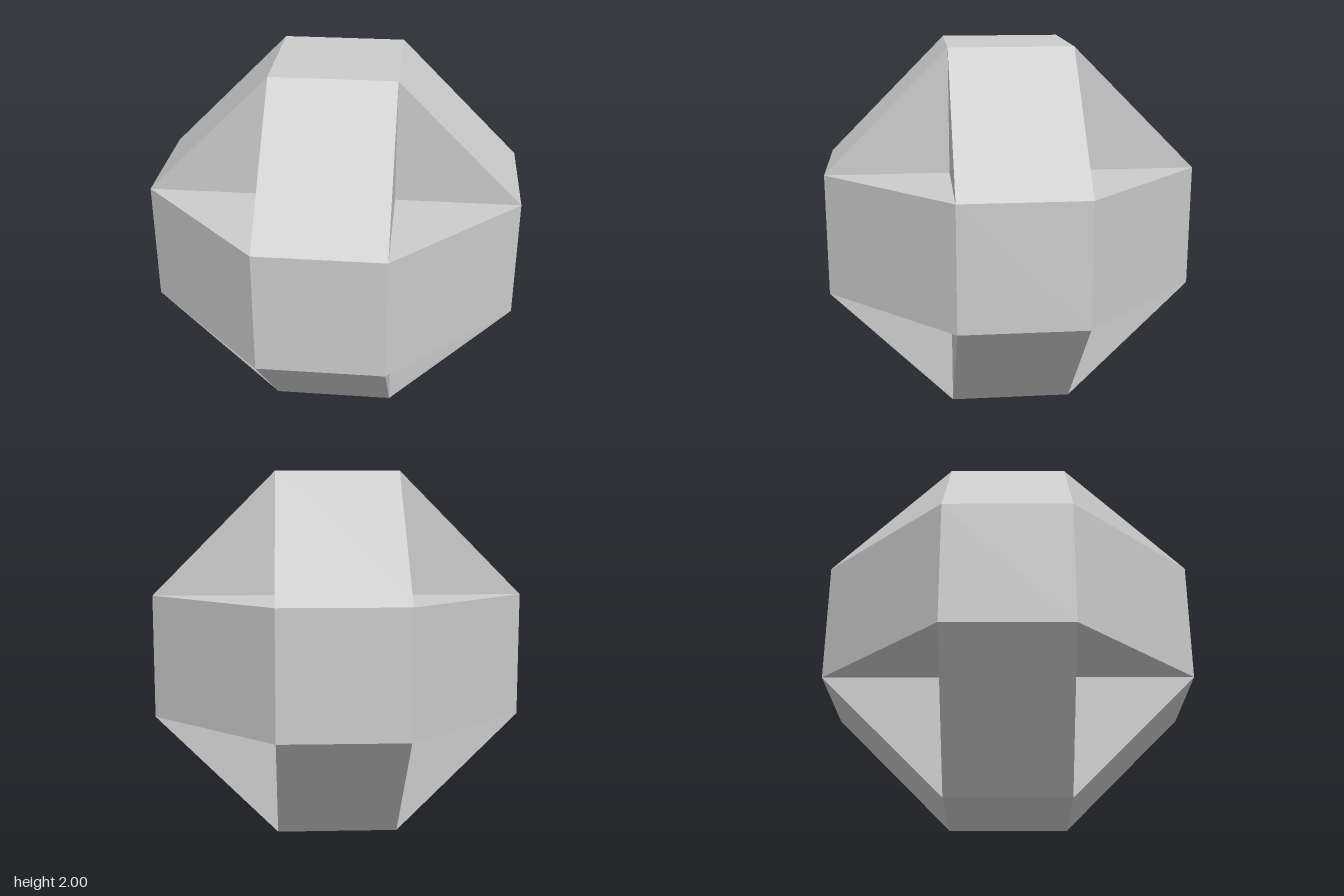
import * as THREE from 'three';

const A = 1 / 3; // half width of each octagonal band
const SIGNS = [1, -1];
const material = new THREE.MeshStandardMaterial({ color: 0xcccccc, flatShading: true });

// Point given by its coordinates along axes i, j and the remaining axis k
function point(i, j, u, v, w) {
  const p = new THREE.Vector3();
  return p.setComponent(i, u).setComponent(j, v).setComponent(3 - i - j, w);
}

// Adds a convex polygon as a fan, wound so that it faces along `outward`
function addFace(out, points, outward) {
  const normal = points[1].clone().sub(points[0]).cross(points[2].clone().sub(points[0]));
  const pts = normal.dot(outward) < 0 ? [...points].reverse() : points;
  for (let n = 1; n < pts.length - 1; n++) {
    for (const p of [pts[0], pts[n], pts[n + 1]]) out.push(p.x, p.y, p.z);
  }
}

function makeMesh(name, positions) {
  const geometry = new THREE.BufferGeometry();
  geometry.setAttribute('position', new THREE.Float32BufferAttribute(positions, 3));
  geometry.computeVertexNormals();
  const mesh = new THREE.Mesh(geometry, material);
  mesh.name = name;
  mesh.position.y = 1;
  return mesh;
}

export function createModel() {
  const caps = [], bevels = [], recesses = [];

  for (let i = 0; i < 3; i++) {
    const j = (i + 1) % 3;
    for (const s of SIGNS) {
      // Square where two bands cross, at the end of axis i
      addFace(caps, [
        point(i, j, s, A, A), point(i, j, s, -A, A),
        point(i, j, s, -A, -A), point(i, j, s, A, -A),
      ], point(i, j, s, 0, 0));

      for (const t of SIGNS) {
        // Sloping band panel between axes i and j
        addFace(bevels, [
          point(i, j, s, t * A, A), point(i, j, s * A, t, A),
          point(i, j, s * A, t, -A), point(i, j, s, t * A, -A),
        ], point(i, j, s, t, 0));

        // Side walls of the band, forming the three-sided corner pockets
        for (const r of SIGNS) {
          addFace(recesses, [
            point(i, j, s * A, t * A, r * A),
            point(i, j, s, t * A, r * A),
            point(i, j, s * A, t, r * A),
          ], point(i, j, 0, 0, r));
        }
      }
    }
  }

  const model = new THREE.Group();
  model.name = 'interlockedOctagonalBands';
  model.add(
    makeMesh('squareCaps', caps),
    makeMesh('slopingPanels', bevels),
    makeMesh('cornerPockets', recesses),
  );
  return model;
}
